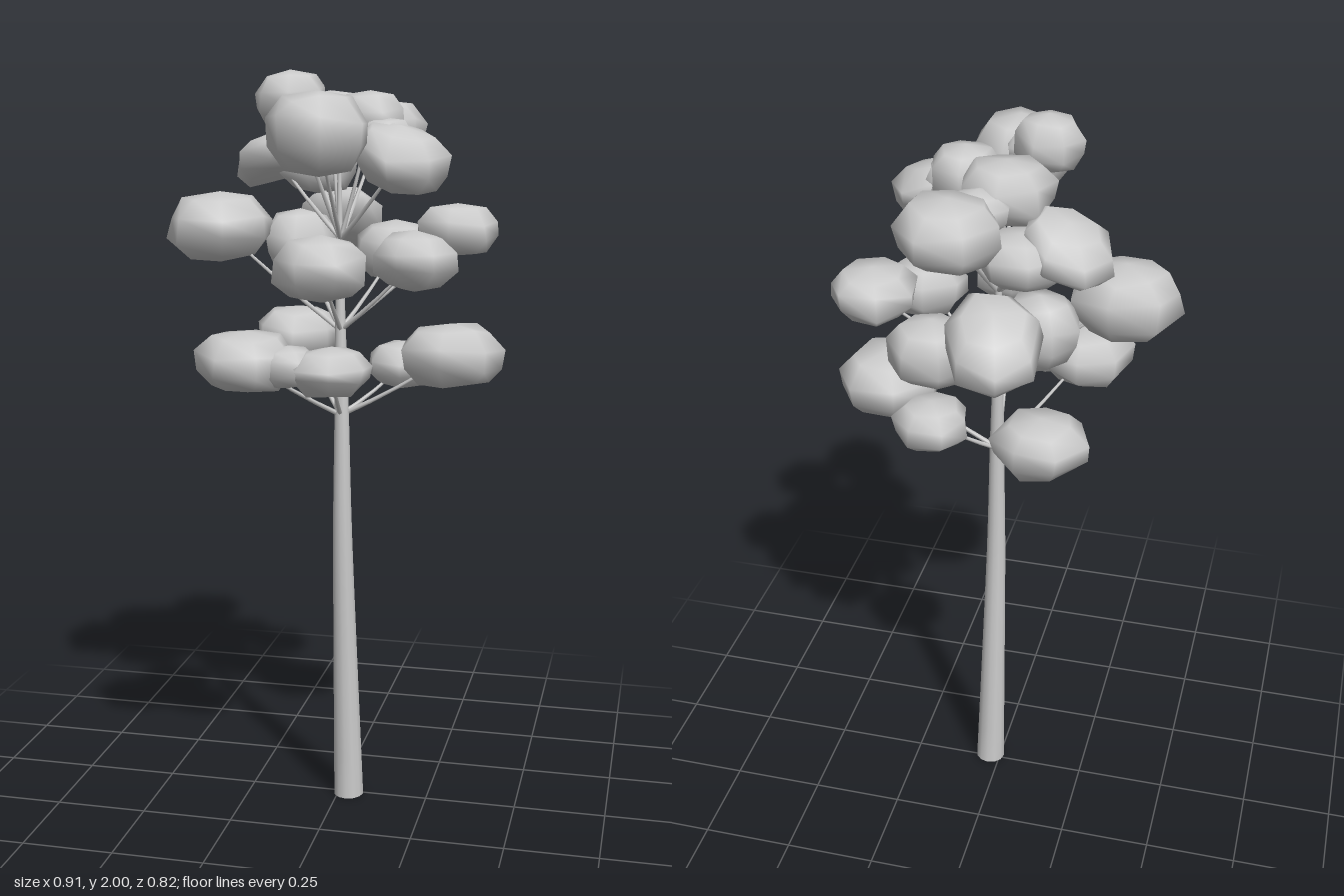
import * as THREE from 'three';
import { mergeVertices } from 'three/addons/utils/BufferGeometryUtils.js';

const material = new THREE.MeshStandardMaterial({ color: 0xcccccc, side: THREE.DoubleSide });

// Foliage clumps of each tier: x, y, z, half width, half height and, where it leans, droop
const lowerClumps = [
  [-0.175, 1.28, 0.285, 0.125, 0.08],
  [0.31, 1.275, 0.04, 0.137, 0.085],
  [0.045, 1.265, 0.3, 0.1, 0.065],
  [0.16, 1.225, -0.08, 0.1, 0.065],
  [-0.16, 1.28, -0.21, 0.12, 0.08],
];
const middleClumps = [
  [-0.32, 1.595, 0.02, 0.14, 0.095],
  [0.02, 1.52, 0.295, 0.115, 0.085],
  [0.22, 1.525, 0.11, 0.105, 0.08],
  [0.3, 1.59, -0.09, 0.11, 0.07],
  [0.11, 1.52, -0.22, 0.11, 0.085],
  [-0.06, 1.595, -0.29, 0.115, 0.08, 0.45],
  [-0.13, 1.54, -0.1, 0.1, 0.1],
];
const upperClumps = [
  [0.01, 1.845, 0.28, 0.125, 0.105],
  [-0.09, 1.925, 0.16, 0.09, 0.075],
  [0.09, 1.87, 0.04, 0.09, 0.08],
  [0.19, 1.785, 0.15, 0.12, 0.08, 0.3],
  [0.06, 1.84, -0.23, 0.125, 0.085],
  [-0.2, 1.775, -0.11, 0.11, 0.065, 0.4],
  [-0.03, 1.87, -0.03, 0.115, 0.08],
  [-0.09, 1.745, -0.14, 0.105, 0.07],
];

// Height of the branch hub, clumps, and the pairs of clumps that grow together
const tiers = [
  { name: 'lower', hub: 1.1, clumps: lowerClumps, joined: [[0, 2]] },
  { name: 'middle', hub: 1.33, clumps: middleClumps, joined: [] },
  { name: 'upper', hub: 1.57, clumps: upperClumps, joined: [[4, 6], [0, 1], [2, 3]] },
];

function seeded(seed) {
  return () => {
    seed = (seed * 16807) % 2147483647;
    return seed / 2147483647;
  };
}

// Slightly bent trunk: centre line and radius at a height
const trunkPath = new THREE.CatmullRomCurve3([
  [0.03, 0, 0.01], [0.022, 0.4, 0.02], [0.016, 0.8, 0.034],
  [0.014, 1.1, 0.035], [0.008, 1.4, 0.028], [0.005, 1.75, 0.025],
].map((p) => new THREE.Vector3(...p)));
const trunkRadius = (y) => (y < 1.1 ? 0.042 - 0.022 * (y / 1.1) : 0.02 - 0.015 * ((y - 1.1) / 0.65));

// Weld a geometry's seams so that it shades smoothly all round
function weld(geometry) {
  geometry.deleteAttribute('uv');
  geometry.deleteAttribute('normal');
  return mergeVertices(geometry, 1e-3);
}

// Open cylinder bent along a curve, its radius given by a function of t and height
function taperedTube(curve, radius, sides, steps) {
  const geometry = weld(new THREE.CylinderGeometry(1, 1, 1, sides, steps, true));
  const p = geometry.attributes.position;
  const up = new THREE.Vector3(0, 1, 0);
  const turn = new THREE.Quaternion();
  const v = new THREE.Vector3();
  for (let i = 0; i < p.count; i++) {
    const t = THREE.MathUtils.clamp(p.getY(i) + 0.5, 0, 1);
    const centre = curve.getPoint(t);
    turn.setFromUnitVectors(up, curve.getTangent(t));
    v.set(p.getX(i), 0, p.getZ(i)).multiplyScalar(radius(t, centre.y)).applyQuaternion(turn).add(centre);
    p.setXYZ(i, v.x, v.y, v.z);
  }
  geometry.computeVertexNormals();
  return geometry;
}

// Irregular, coarse clump with steep sides; droop lowers its outer edge
function clumpGeometry([cx, , cz, width, height, droop = 0], random) {
  const geometry = weld(new THREE.SphereGeometry(1, 7, 5));
  geometry.rotateY(random() * Math.PI * 2);
  const p = geometry.attributes.position;
  const reach = Math.hypot(cx, cz);
  for (let i = 0; i < p.count; i++) {
    const ring = Math.hypot(p.getX(i), p.getZ(i));
    const s = width * (0.98 + random() * 0.16) * (ring > 0.1 ? ring ** -0.2 : 1);
    const x = p.getX(i) * s;
    const z = p.getZ(i) * s;
    const uneven = (random() - 0.5) * 0.3 * ring;
    const outward = (x * cx + z * cz) / reach;
    p.setXYZ(i, x, (p.getY(i) * 0.98 + uneven) * height - droop * outward, z);
  }
  geometry.computeVertexNormals();
  return geometry;
}

// Smaller clump halfway between two neighbours
const linkBetween = (a, b) => [0, 1, 2].map((k) => (a[k] + b[k]) / 2).concat(0.075, 0.055);

export function createModel() {
  const tree = new THREE.Group();
  tree.name = 'tree';
  const random = seeded(4711);

  const add = (parent, geometry, name) => {
    const mesh = new THREE.Mesh(geometry, material);
    mesh.name = name;
    parent.add(mesh);
    return mesh;
  };

  add(tree, taperedTube(trunkPath, (t, y) => trunkRadius(y), 12, 16), 'trunk');

  for (const { name, hub, clumps, joined } of tiers) {
    const tier = new THREE.Group();
    tier.name = `${name}Tier`;
    tree.add(tier);
    const start = new THREE.Vector3(0.01, hub, 0.03);

    // Branches rising from the hub into the clumps
    for (const [x, y, z] of clumps) {
      const end = new THREE.Vector3(x, y, z);
      const bend = start.clone().lerp(end, 0.55);
      bend.y -= 0.015;
      const curve = new THREE.QuadraticBezierCurve3(start, bend, end);
      add(tier, taperedTube(curve, (t) => 0.007 - 0.004 * t, 5, 4), 'branch');
    }

    // Leaf clumps and the links between those that grow together
    const links = joined.map(([a, b]) => linkBetween(clumps[a], clumps[b]));
    for (const clump of [...clumps, ...links]) {
      add(tier, clumpGeometry(clump, random), 'foliage').position.set(...clump.slice(0, 3));
    }
  }
  return tree;
}
